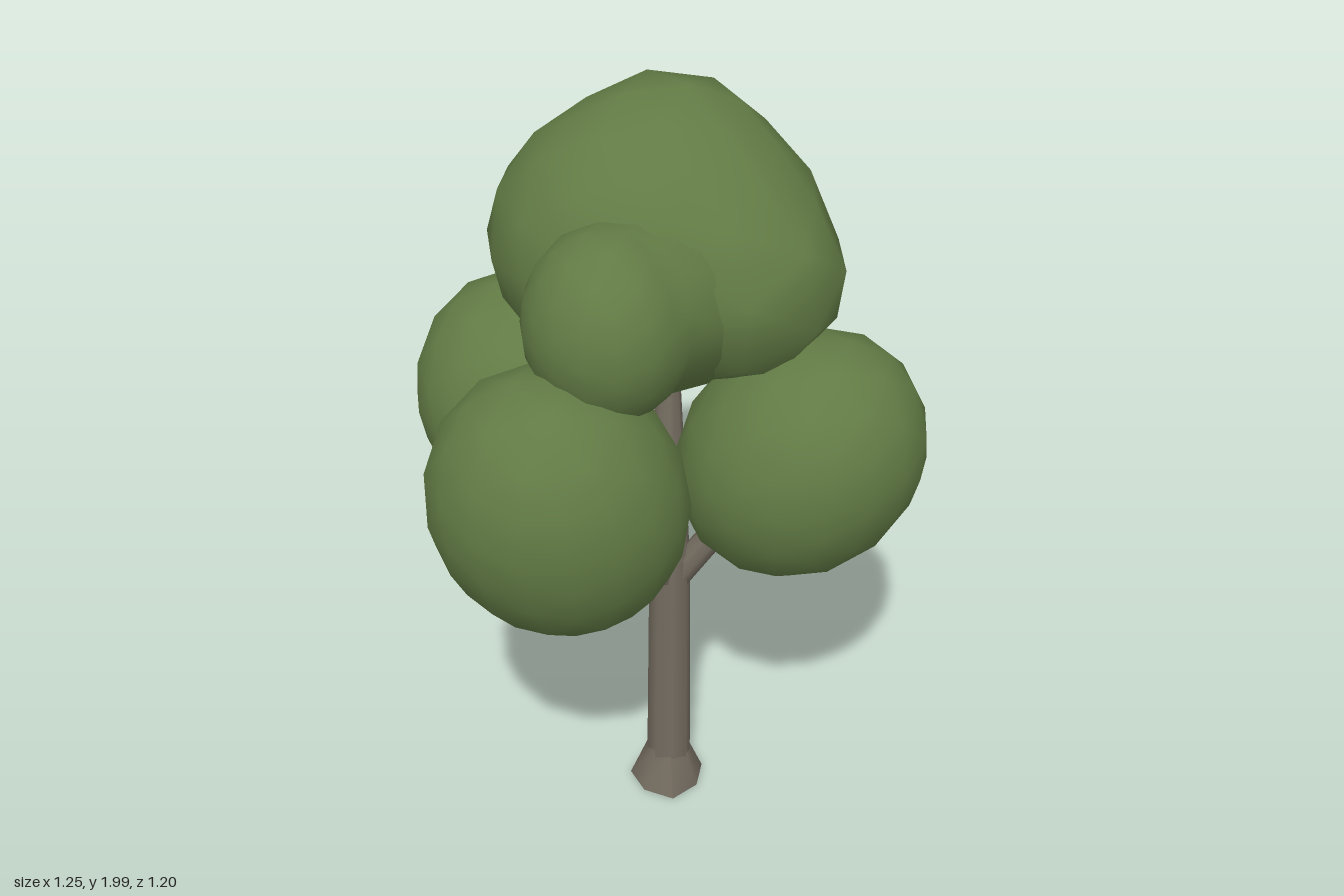
import * as THREE from 'three';
import { mergeVertices } from 'three/addons/utils/BufferGeometryUtils.js';

const leaf = new THREE.MeshStandardMaterial({ color: 0x627b45 });
leaf.name = 'leaf green';
const bark = new THREE.MeshStandardMaterial({ color: 0x746c60, side: THREE.DoubleSide });
bark.name = 'bark';

// distance from o along d to the far side of an ellipsoid lobe (0 if missed)
function exitDistance(o, d, [cx, cy, cz, rx, ry, rz]) {
  const r = new THREE.Vector3(rx, ry, rz);
  const p = o.clone().sub(new THREE.Vector3(cx, cy, cz)).divide(r);
  const q = d.clone().divide(r);
  const a = q.dot(q), b = p.dot(q), c = p.dot(p) - 1;
  const disc = b * b - a * c;
  return disc > 0 ? Math.max(0, (-b + Math.sqrt(disc)) / a) : 0;
}

// leaf mass: coarse sphere pushed out to the hull of its lobes, then leaned
// sideways by leanX and leanZ per unit of height, smooth shaded
function foliage(name, lobes, leanX = 0, leanZ = 0) {
  let geo = new THREE.IcosahedronGeometry(1, 2);
  geo.deleteAttribute('normal');
  geo.deleteAttribute('uv');
  geo = mergeVertices(geo, 1e-4);
  const o = new THREE.Vector3(...lobes[0].slice(0, 3));
  const pos = geo.attributes.position;
  const d = new THREE.Vector3();
  for (let i = 0; i < pos.count; i++) {
    d.fromBufferAttribute(pos, i).normalize();
    const reach = 1.01 * Math.max(...lobes.map((l) => exitDistance(o, d, l)));
    d.multiplyScalar(reach);
    pos.setXYZ(i, o.x + d.x + d.y * leanX, o.y + d.y, o.z + d.z + d.y * leanZ);
  }
  geo.computeVertexNormals();
  const mesh = new THREE.Mesh(geo, leaf);
  mesh.name = name;
  return mesh;
}

// tapered limb between two points
function limb(name, from, to, r0, r1) {
  const a = new THREE.Vector3(...from), b = new THREE.Vector3(...to);
  const axis = b.clone().sub(a);
  const mesh = new THREE.Mesh(new THREE.CylinderGeometry(r1, r0, axis.length(), 8, 1, true), bark);
  mesh.position.copy(a).add(b).multiplyScalar(0.5);
  mesh.quaternion.setFromUnitVectors(new THREE.Vector3(0, 1, 0), axis.normalize());
  mesh.name = name;
  return mesh;
}

export function createModel() {
  const tree = new THREE.Group();
  tree.name = 'tree';

  // trunk, leader and branches
  tree.add(
    limb('trunk', [-0.007, 0.08, 0.027], [-0.003, 0.76, 0.024], 0.06, 0.054),
    limb('leader', [-0.003, 0.75, 0.024], [0, 1.42, -0.04], 0.053, 0.025),
    limb('frontBranch', [-0.01, 0.7, 0.03], [-0.22, 1.0, 0.2], 0.04, 0.03),
    limb('leftBranch', [0.01, 0.69, 0.025], [0.23, 1.02, 0.09], 0.04, 0.03),
    limb('backBranch', [-0.01, 0.7, 0.015], [-0.22, 1.0, -0.2], 0.042, 0.032)
  );

  // root flare, open underneath, with uneven toes
  const flare = new THREE.CylinderGeometry(0.056, 0.1, 0.12, 7, 1, true);
  const p = flare.attributes.position;
  for (let i = 0; i < p.count; i++) {
    if (p.getY(i) > 0) continue;
    const angle = Math.atan2(p.getX(i), p.getZ(i));
    const k = 1 + 0.06 * Math.cos(3 * angle);
    p.setX(i, p.getX(i) * k);
    p.setZ(i, p.getZ(i) * k);
  }
  flare.computeVertexNormals();
  const roots = new THREE.Mesh(flare, bark);
  roots.position.set(-0.01, 0.06, 0.026);
  roots.name = 'rootFlare';
  tree.add(roots);

  // leaf masses: lobes are centre x, y, z and radii x, y, z
  tree.add(
    foliage('crown', [
      [-0.015, 1.61, -0.135, 0.412, 0.35, 0.365],
      [0.015, 1.755, -0.17, 0.275, 0.24, 0.26],
      [0.15, 1.56, 0.01, 0.278, 0.255, 0.275]
    ]),
    foliage('crownFrontLeaves', [
      [-0.175, 1.565, 0.215, 0.2, 0.235, 0.222],
      [-0.04, 1.55, 0.1, 0.25, 0.235, 0.19]
    ]),
    foliage('frontRightLeaves', [[-0.31, 1.14, 0.295, 0.314, 0.367, 0.303]], -0.07, 0.11),
    foliage('leftLeaves', [[0.315, 1.1, 0.11, 0.31, 0.33, 0.302]], 0.12, 0.08),
    foliage('backRightLeaves', [
      [-0.33, 1.09, -0.3, 0.295, 0.318, 0.297],
      [-0.25, 1.12, -0.21, 0.24, 0.26, 0.24]
    ], -0.04, -0.1)
  );
  return tree;
}
